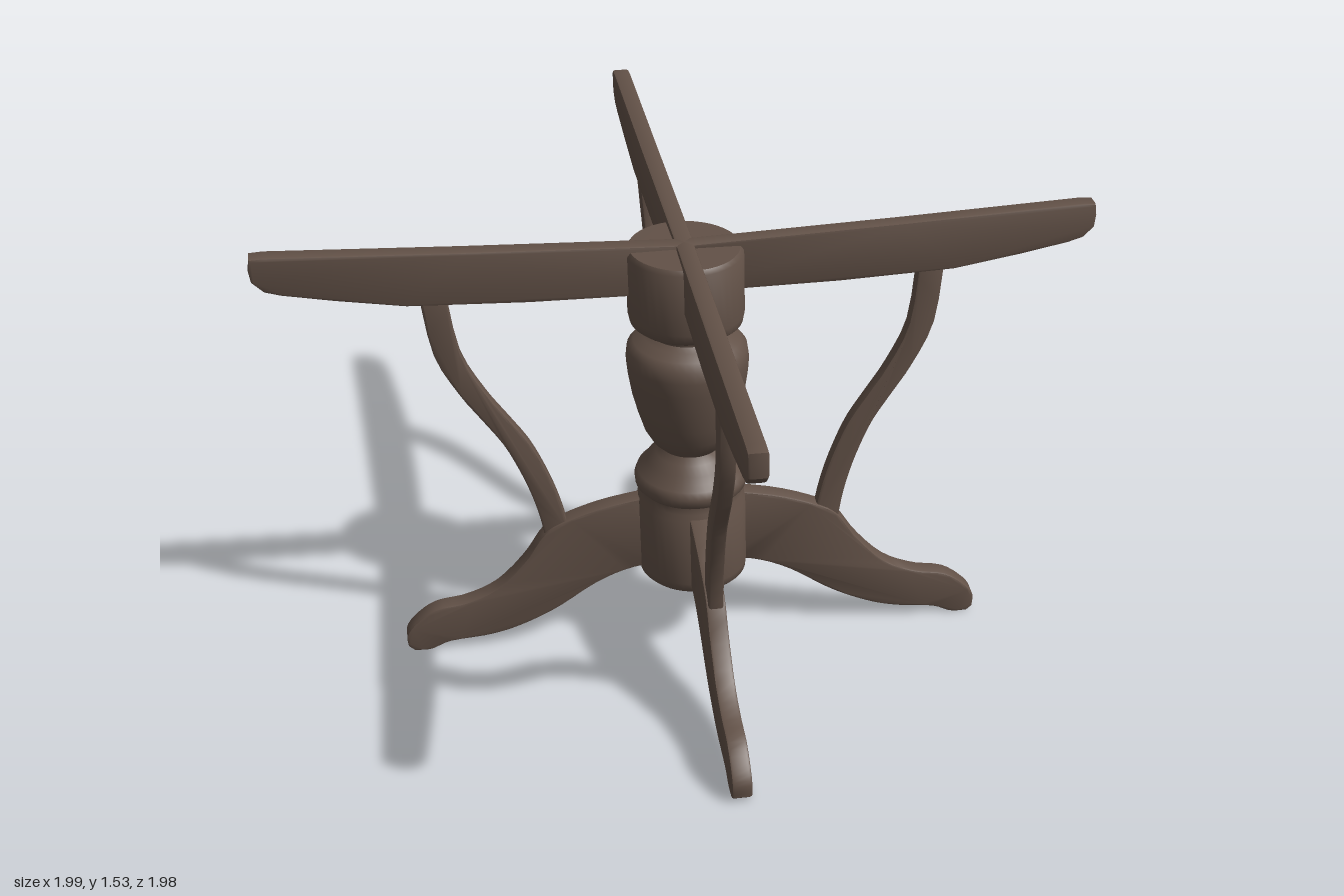
import * as THREE from 'three';
import { toCreasedNormals } from 'three/addons/utils/BufferGeometryUtils.js';

const wood = new THREE.MeshStandardMaterial({ color: 0x625147 });
wood.name = 'darkWood';

const v2 = (p) => new THREE.Vector2(p[0], p[1]);
const smooth = (pts, n) => new THREE.SplineCurve(pts.map(v2)).getPoints(n);

// The pedestal leans very slightly: centre of the axis at height y
function axis(y) {
  const t = (1.4 - y) / 1.1;
  return [0.01 + 0.025 * t, -0.012 * t];
}

// Moves each vertex by a rule, then restores smooth normals with sharp edges
function deform(geo, rule, crease) {
  const pos = geo.attributes.position;
  for (let i = 0; i < pos.count; i++) {
    pos.setXYZ(i, ...rule(pos.getX(i), pos.getY(i), pos.getZ(i)));
  }
  return toCreasedNormals(geo, crease);
}

function part(name, geo) {
  const mesh = new THREE.Mesh(geo, wood);
  mesh.name = name;
  return mesh;
}

// Bevelled board cut from an outline (radius, height), turned to an angle about the axis;
// angleAt(y) lets a board twist along its height
function board(name, outline, thickness, angleAt, scale = 1) {
  const bevel = 0.008;
  const geo = new THREE.ExtrudeGeometry(new THREE.Shape(outline), {
    depth: thickness - 2 * bevel, bevelEnabled: true, bevelSegments: 2,
    bevelSize: bevel, bevelThickness: bevel, bevelOffset: -bevel,
  });
  geo.translate(0, 0, -thickness / 2 + bevel);
  return part(name, deform(geo, (r, y, t) => {
    const a = angleAt(y), [cx, cz] = axis(y);
    return [
      cx + r * scale * Math.cos(a) - t * Math.sin(a),
      y,
      cz + r * scale * Math.sin(a) + t * Math.cos(a),
    ];
  }, 0.6));
}

// Side outlines (radius from axis, height)
const armOutline = [
  [0, 1.32], [0.5, 1.322], [0.88, 1.335], [1.1, 1.37], [1.26, 1.4], [1.31, 1.415],
  [1.345, 1.45], [1.35, 1.49], [1.345, 1.53], [1.3, 1.533], [0.7, 1.51], [0, 1.488],
].map(v2);

const legOutline = [
  ...smooth([[0.1, 0.3], [0.23, 0.28], [0.35, 0.23], [0.49, 0.14], [0.62, 0.08],
    [0.73, 0.05], [0.87, 0.035], [0.94, 0.008], [1.0, 0.008]], 28),
  ...smooth([[1.02, 0.025], [1.02, 0.075], [0.98, 0.125], [0.91, 0.17], [0.8, 0.19],
    [0.69, 0.24], [0.59, 0.34], [0.52, 0.44], [0.45, 0.485], [0.3, 0.535], [0.1, 0.57]], 34),
];

const strutCentre = smooth([[0.455, 0.4], [0.47, 0.5], [0.495, 0.6], [0.53, 0.7], [0.575, 0.8],
  [0.64, 0.9], [0.705, 1.0], [0.775, 1.15], [0.805, 1.37]], 24);
const strutOutline = [
  ...strutCentre.map((p) => new THREE.Vector2(p.x + 0.042, p.y)),
  ...strutCentre.map((p) => new THREE.Vector2(p.x - 0.042, p.y)).reverse(),
];

// Turned column profile: base drum, ring, vase, neck and top drum
const columnProfile = [
  [0, 0.26], [0.165, 0.26], [0.18, 0.275], [0.183, 0.3], [0.183, 0.55], [0.172, 0.57],
  [0.172, 0.595], [0.186, 0.61], [0.188, 0.635], [0.178, 0.66], [0.155, 0.675], [0.145, 0.7],
  [0.115, 0.725], [0.1, 0.75], [0.125, 0.775], [0.15, 0.82], [0.168, 0.88], [0.185, 0.95],
  [0.197, 1.03], [0.201, 1.08], [0.196, 1.12], [0.175, 1.145], [0.14, 1.16], [0.122, 1.175],
  [0.125, 1.195], [0.165, 1.205], [0.183, 1.22], [0.189, 1.25], [0.189, 1.46],
  [0.178, 1.475], [0, 1.478],
].map(v2);

// Measured tips of each corner's arm and leg (x, z)
const corners = [
  { name: 'frontLeft', arm: [0.98, 0.95], leg: [0.73, 0.65] },
  { name: 'frontRight', arm: [-0.95, 0.965], leg: [-0.665, 0.685] },
  { name: 'backLeft', arm: [0.935, -0.975], leg: [0.745, -0.695] },
  { name: 'backRight', arm: [-0.98, -0.915], leg: [-0.65, -0.72] },
];

export function createModel() {
  const group = new THREE.Group();
  group.name = 'pedestalTableBase';

  const lathe = new THREE.LatheGeometry(columnProfile, 40);
  group.add(part('column', deform(lathe, (x, y, z) => {
    const [cx, cz] = axis(y);
    return [x + cx, y, z + cz];
  }, 0.7)));

  for (const c of corners) {
    const polar = (tip, y) => {
      const [cx, cz] = axis(y), dx = tip[0] - cx, dz = tip[1] - cz;
      return { angle: Math.atan2(dz, dx), length: Math.hypot(dx, dz) };
    };
    const arm = polar(c.arm, 1.45), leg = polar(c.leg, 0.1);
    // Struts twist from the leg's direction to the arm's
    const twist = (y) => THREE.MathUtils.lerp(leg.angle, arm.angle,
      THREE.MathUtils.clamp((y - 0.45) / 0.88, 0, 1));

    group.add(
      board(c.name + 'Arm', armOutline, 0.06, () => arm.angle, arm.length / 1.35),
      board(c.name + 'Leg', legOutline, 0.065, () => leg.angle, leg.length / 1.02),
      board(c.name + 'Strut', strutOutline, 0.05, twist),
    );
  }
  return group;
}
